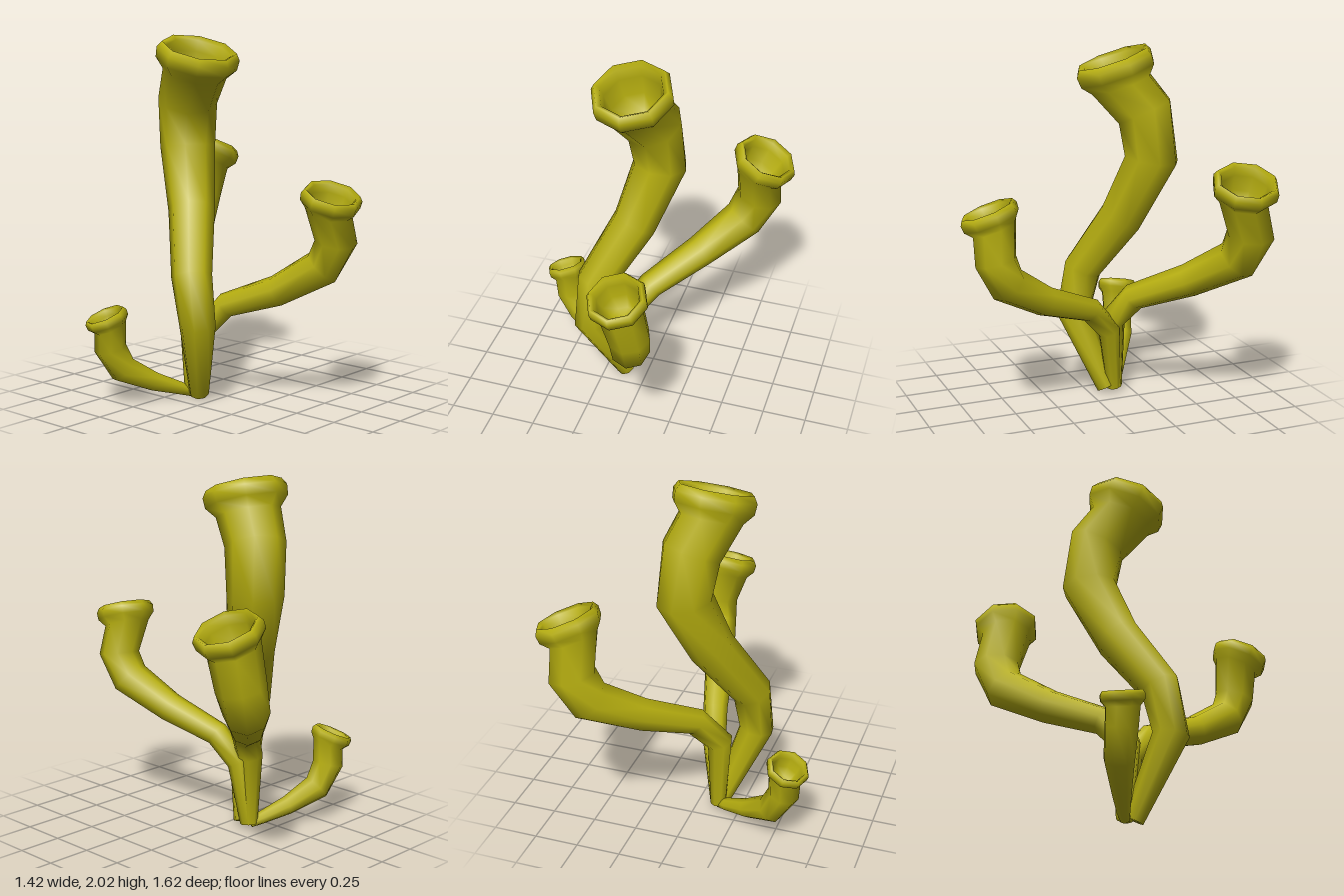
import * as THREE from 'three';

const SIDES = 8;
const V = (x, y, z) => new THREE.Vector3(x, y, z);

// Flared cup: [radius, offset along the rim axis], in units of the rim radius
const CUP = [
  [0.77, -0.42], [0.98, -0.17], [1.0, 0.08], [0.9, 0.24],
  [0.78, 0.16], [0.72, -0.1], [0.62, -0.55], [0.4, -0.95],
];

// stem: [x, y, z, radius] from the base up; rim: centre, axis and radius of the mouth
const TUBES = [
  {
    name: 'tallTube', rim: V(-0.09, 1.915, -0.135), axis: V(-0.08, 0.93, 0.31), radius: 0.23,
    stem: [
      [-0.125, 0.04, -0.1, 0.055], [-0.29, 0.475, 0.04, 0.1], [-0.275, 0.74, -0.015, 0.112],
      [-0.095, 1.07, -0.18, 0.13], [0.015, 1.41, -0.31, 0.155], [-0.015, 1.67, -0.28, 0.165],
    ],
  },
  {
    name: 'backTube', rim: V(0.54, 1.33, -0.62), axis: V(0.4, 0.92, 0.05), radius: 0.185,
    stem: [
      [-0.125, 0.04, -0.15, 0.045], [-0.13, 0.45, -0.14, 0.075], [-0.01, 0.61, -0.22, 0.078],
      [0.22, 0.745, -0.45, 0.095], [0.43, 0.9, -0.64, 0.12], [0.51, 1.06, -0.675, 0.132],
    ],
  },
  {
    name: 'frontTube', rim: V(0.08, 1.185, 0.655), axis: V(-0.12, 0.93, 0.33), radius: 0.165,
    stem: [
      [-0.115, 0.04, -0.14, 0.04], [-0.085, 0.4, -0.1, 0.065], [-0.045, 0.55, 0.03, 0.07],
      [0.03, 0.66, 0.33, 0.085], [0.12, 0.81, 0.575, 0.108], [0.14, 0.95, 0.645, 0.115],
    ],
  },
  {
    name: 'smallTube', rim: V(-0.585, 0.505, -0.36), axis: V(-0.33, 0.93, -0.2), radius: 0.12,
    stem: [
      [-0.13, 0.035, -0.15, 0.025], [-0.19, 0.065, -0.185, 0.038], [-0.33, 0.12, -0.255, 0.055],
      [-0.49, 0.21, -0.335, 0.08], [-0.565, 0.34, -0.355, 0.088],
    ],
  },
];

function tubeGeometry({ stem, rim, axis, radius }) {
  const n = axis.clone().normalize();
  const rings = stem.map(([x, y, z, r]) => ({ c: V(x, y, z), r }));
  const stemCount = rings.length;
  for (const [r, h] of CUP) {
    rings.push({ c: rim.clone().addScaledVector(n, h * radius), r: r * radius, t: n });
  }

  // Ring planes bisect the bends of the stem
  for (let i = 0; i < stemCount; i++) {
    const ahead = rings[i + 1].c.clone().sub(rings[i].c).normalize();
    if (i > 0) ahead.add(rings[i].c.clone().sub(rings[i - 1].c).normalize());
    rings[i].t = ahead.normalize();
  }

  // Carry the cross-section frame down from the mouth so the tube does not twist
  let u = V(1, 0, 0);
  for (let i = rings.length - 1; i >= 0; i--) {
    const t = rings[i].t;
    u = u.clone().addScaledVector(t, -u.dot(t)).normalize();
    rings[i].u = u;
    rings[i].v = t.clone().cross(u);
  }

  const pos = [], idx = [];
  for (const { c, r, u: a, v: b } of rings) {
    for (let j = 0; j < SIDES; j++) {
      const ang = (j / SIDES) * Math.PI * 2;
      const p = c.clone().addScaledVector(a, r * Math.cos(ang)).addScaledVector(b, r * Math.sin(ang));
      pos.push(p.x, p.y, p.z);
    }
  }
  const last = rings.length - 1;
  const base = rings.length * SIDES;
  pos.push(...rings[0].c.toArray(), ...rings[last].c.toArray());

  for (let j = 0; j < SIDES; j++) {
    const k = (j + 1) % SIDES;
    for (let i = 0; i < last; i++) {
      const a = i * SIDES + j, b = i * SIDES + k;
      idx.push(a, b, a + SIDES, b, b + SIDES, a + SIDES);
    }
    idx.push(base, k, j); // closed foot
    idx.push(base + 1, last * SIDES + j, last * SIDES + k); // cup floor
  }

  const geo = new THREE.BufferGeometry();
  geo.setAttribute('position', new THREE.Float32BufferAttribute(pos, 3));
  geo.setIndex(idx);
  geo.computeVertexNormals();
  return geo;
}

export function createModel() {
  const group = new THREE.Group();
  group.name = 'tubeCluster';
  const material = new THREE.MeshStandardMaterial({ color: 0xb8b010 });
  for (const tube of TUBES) {
    const mesh = new THREE.Mesh(tubeGeometry(tube), material);
    mesh.name = tube.name;
    group.add(mesh);
  }
  return group;
}
